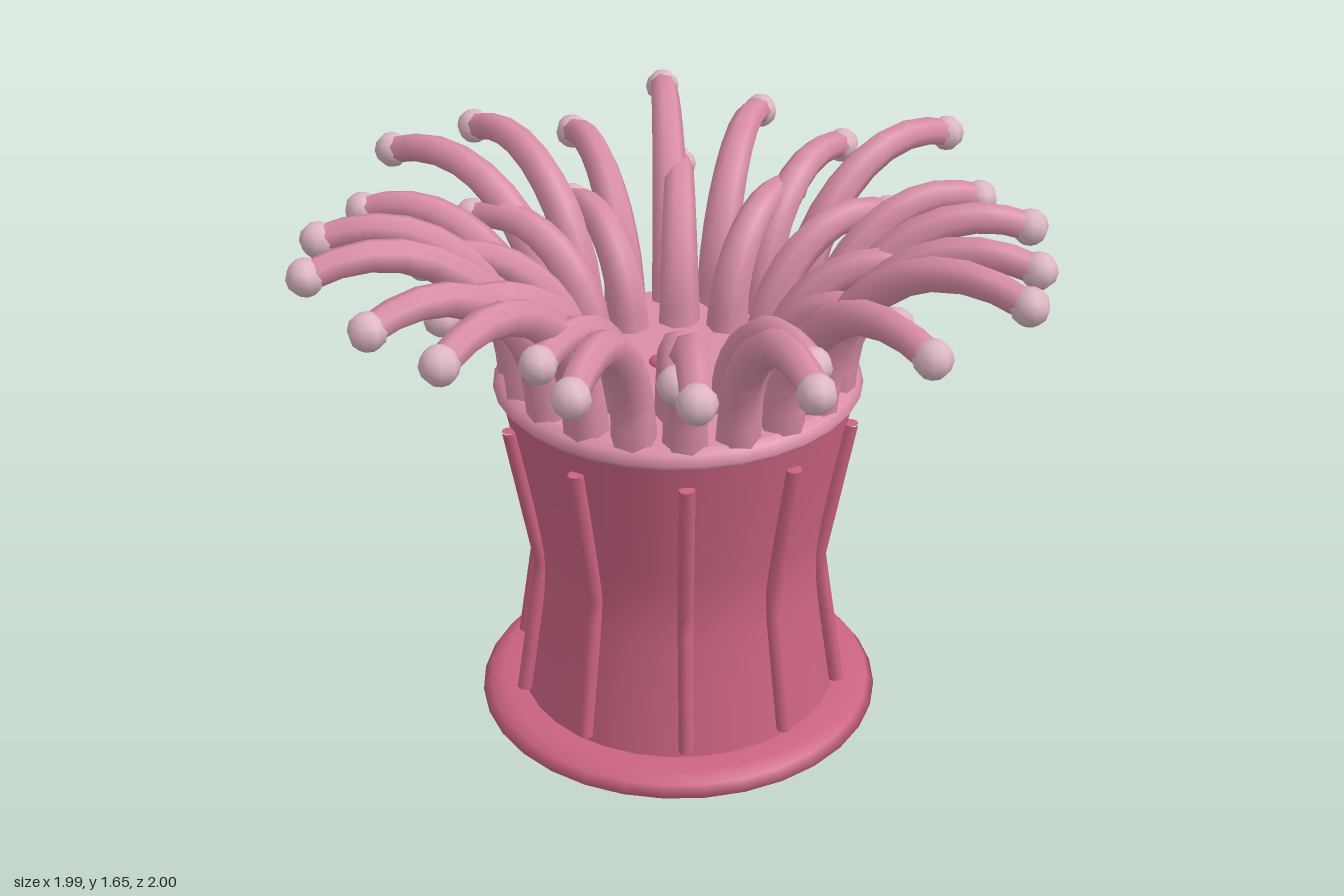
import * as THREE from 'three';

const paint = (name, color) => {
  const m = new THREE.MeshStandardMaterial({ color });
  m.name = name;
  return m;
};

// Tube along a curve, narrowing evenly from r0 to r1
function taperedTube(curve, r0, r1, steps, sides) {
  const geo = new THREE.TubeGeometry(curve, steps, 1, sides, false);
  const pos = geo.attributes.position;
  const v = new THREE.Vector3();
  for (let i = 0; i <= steps; i++) {
    const c = curve.getPointAt(i / steps);
    const r = THREE.MathUtils.lerp(r0, r1, i / steps);
    for (let j = 0; j <= sides; j++) {
      const k = i * (sides + 1) + j;
      v.fromBufferAttribute(pos, k).sub(c).multiplyScalar(r).add(c);
      pos.setXYZ(k, v.x, v.y, v.z);
    }
  }
  return geo;
}

export function createModel() {
  const model = new THREE.Group();
  model.name = 'seaAnemone';
  const body = new THREE.Group();
  body.name = 'body';
  body.position.x = -0.02;
  model.add(body);

  const rose = paint('rose', 0xcb6381);
  const pink = paint('pink', 0xd98da6);
  const pale = paint('palePink', 0xdcb6c2);

  const add = (name, geo, mat, parent = body) => {
    const mesh = new THREE.Mesh(geo, mat);
    mesh.name = name;
    parent.add(mesh);
    return mesh;
  };
  const lathe = (pts, smooth = false) => {
    let p = pts.map(([x, y]) => new THREE.Vector2(x, y));
    if (smooth) p = new THREE.SplineCurve(p).getPoints(16);
    return new THREE.LatheGeometry(p, 32);
  };

  // Foot, column and rim
  add('foot', lathe([[0, 0.003], [0.25, 0.014], [0.42, 0.04], [0.53, 0.07], [0.582, 0.1],
    [0.56, 0.128], [0.52, 0.148], [0.44, 0.15]]), rose);
  add('column', lathe([[0.465, 0.13], [0.425, 0.4], [0.41, 0.6], [0.435, 0.8], [0.49, 1.1]], true), rose);
  add('rim', lathe([[0.48, 1.085], [0.492, 1.092], [0.508, 1.11], [0.492, 1.135], [0.47, 1.145]]), pink);

  // Mouth disc with the mouth in its middle
  const disc = add('oralDisc', new THREE.CircleGeometry(0.475, 32), pink);
  disc.rotation.x = -Math.PI / 2;
  disc.position.y = 1.143;
  const mouth = add('mouth', new THREE.SphereGeometry(1, 20, 10), rose);
  mouth.scale.set(0.083, 0.025, 0.05);
  mouth.position.y = 1.145;

  // Ten bent ridges down the column
  const ridgePath = new THREE.CurvePath();
  const ridgePts = [[0.477, 0.18], [0.41, 0.6], [0.485, 1.03]].map(([x, y]) => new THREE.Vector3(x, y, 0));
  ridgePath.add(new THREE.LineCurve3(ridgePts[0], ridgePts[1]));
  ridgePath.add(new THREE.LineCurve3(ridgePts[1], ridgePts[2]));
  const ridgeGeo = new THREE.TubeGeometry(ridgePath, 12, 0.022, 8, false);
  for (let i = 0; i < 10; i++) {
    const ridge = new THREE.Group();
    ridge.name = 'ridge';
    ridge.rotation.y = -i * Math.PI / 5;
    body.add(ridge);
    add('ridgeBar', ridgeGeo, rose, ridge);
    for (const [p, turn] of [[ridgePts[0], Math.PI / 2], [ridgePts[2], -Math.PI / 2]]) {
      const cap = add('ridgeEnd', new THREE.CircleGeometry(0.022, 8), rose, ridge);
      cap.position.copy(p);
      cap.rotation.x = turn;
    }
  }

  // Tentacles: one arching path, scaled to reach each tip radius
  const arch = [[0, -0.02], [0.025, 0.14], [0.11, 0.29], [0.25, 0.395], [0.4, 0.42], [0.52, 0.39]];
  const tipGeo = new THREE.SphereGeometry(0.05, 8, 6);
  function tentacleRing(name, start, offset, reaches) {
    reaches.forEach((reach, i) => {
      const s = (reach - start) / 0.52;
      const pts = arch.map(([x, y]) => new THREE.Vector3(start + x * s, 1.147 + y * s, 0));
      const tentacle = new THREE.Group();
      tentacle.name = name;
      tentacle.rotation.y = -(offset + i * 2 * Math.PI / reaches.length);
      add('arm', taperedTube(new THREE.CatmullRomCurve3(pts), 0.062, 0.038, 10, 7), pink, tentacle);
      add('tip', tipGeo, pale, tentacle).position.copy(pts[5]);
      body.add(tentacle);
    });
  }
  tentacleRing('outerTentacle', 0.43, 0, [0.95, 1.01, 0.95, 0.9, 0.92, 0.92, 0.99, 0.95, 0.99, 0.945,
    0.9, 0.98, 0.966, 0.9, 1.01, 0.95, 0.89, 1.0, 0.9, 0.94]);
  tentacleRing('innerTentacle', 0.28, Math.PI / 12, [0.64, 0.66, 0.64, 0.67, 0.685, 0.68,
    0.67, 0.62, 0.69, 0.66, 0.68, 0.65]);

  return model;
}
